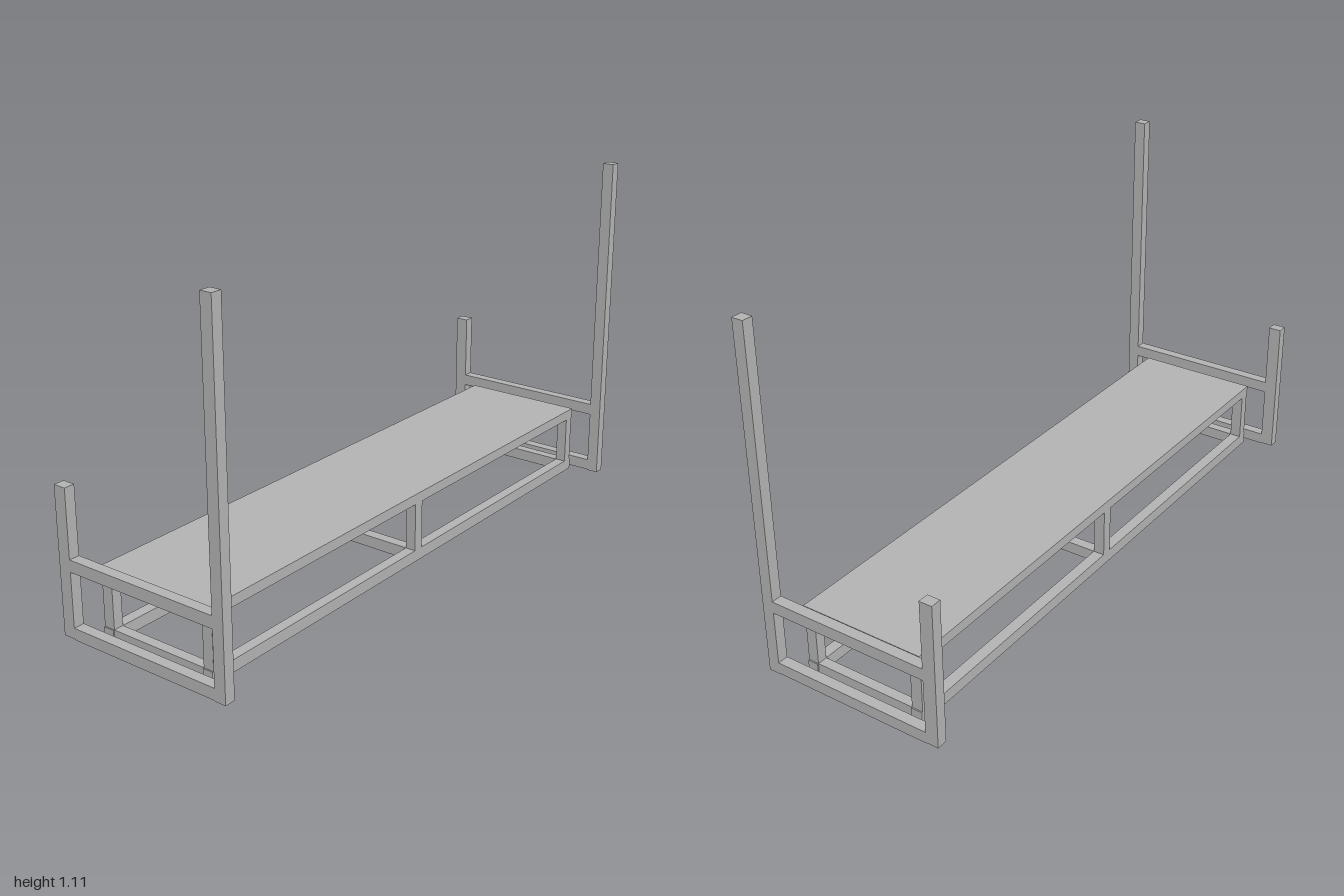
import * as THREE from 'three';

export function createModel() {
  const model = new THREE.Group();
  const grey = new THREE.MeshStandardMaterial({ color: 0xb2b2b2 });
  grey.name = 'grey metal';

  // Box given by its limits on each axis
  function bar(parent, name, [x0, x1], [y0, y1], [z0, z1]) {
    const mesh = new THREE.Mesh(new THREE.BoxGeometry(x1 - x0, y1 - y0, z1 - z0), grey);
    mesh.position.set((x0 + x1) / 2, (y0 + y1) / 2, (z0 + z1) / 2);
    mesh.name = name;
    parent.add(mesh);
  }
  function group(name) {
    const g = new THREE.Group();
    g.name = name;
    model.add(g);
    return g;
  }

  // End frames: one tall post, one short post, two cross rails
  for (const [name, z] of [['frontEndFrame', [0.965, 1]], ['backEndFrame', [-1, -0.965]]]) {
    const end = group(name);
    bar(end, 'tallPost', [0.267, 0.305], [0, 1.11], z);
    bar(end, 'shortPost', [-0.305, -0.263], [0.004, 0.465], z);
    bar(end, 'lowerRail', [-0.263, 0.267], [0.002, 0.039], z);
    bar(end, 'upperRail', [-0.263, 0.267], [0.212, 0.25], z);
  }

  // Bench: rectangular lower and upper frames joined by six short legs
  const bench = group('bench');
  const sides = [['right', [-0.205, -0.168]], ['left', [0.172, 0.207]]];
  const frames = [['lower', [0, 0.038]], ['upper', [0.195, 0.226]]];
  const stations = [['Front', [0.905, 0.938]], ['Middle', [-0.018, 0.018]], ['Back', [-0.938, -0.905]]];
  for (const [side, x] of sides) {
    for (const [level, y] of frames) bar(bench, `${level}${side}Rail`, x, y, [-0.942, 0.942]);
    for (const [place, z] of stations) bar(bench, `${side}${place}Leg`, x, [0.038, 0.195], z);
  }
  for (const [level, y] of frames) {
    for (const [place, z] of stations) {
      if (level === 'upper' && place === 'Middle') continue;
      bar(bench, `${level}${place}CrossRail`, [-0.168, 0.172], y, z);
    }
  }

  // Thin deck on top of the upper frame
  bar(bench, 'deck', [-0.205, 0.207], [0.222, 0.228], [-0.942, 0.942]);

  return model;
}
